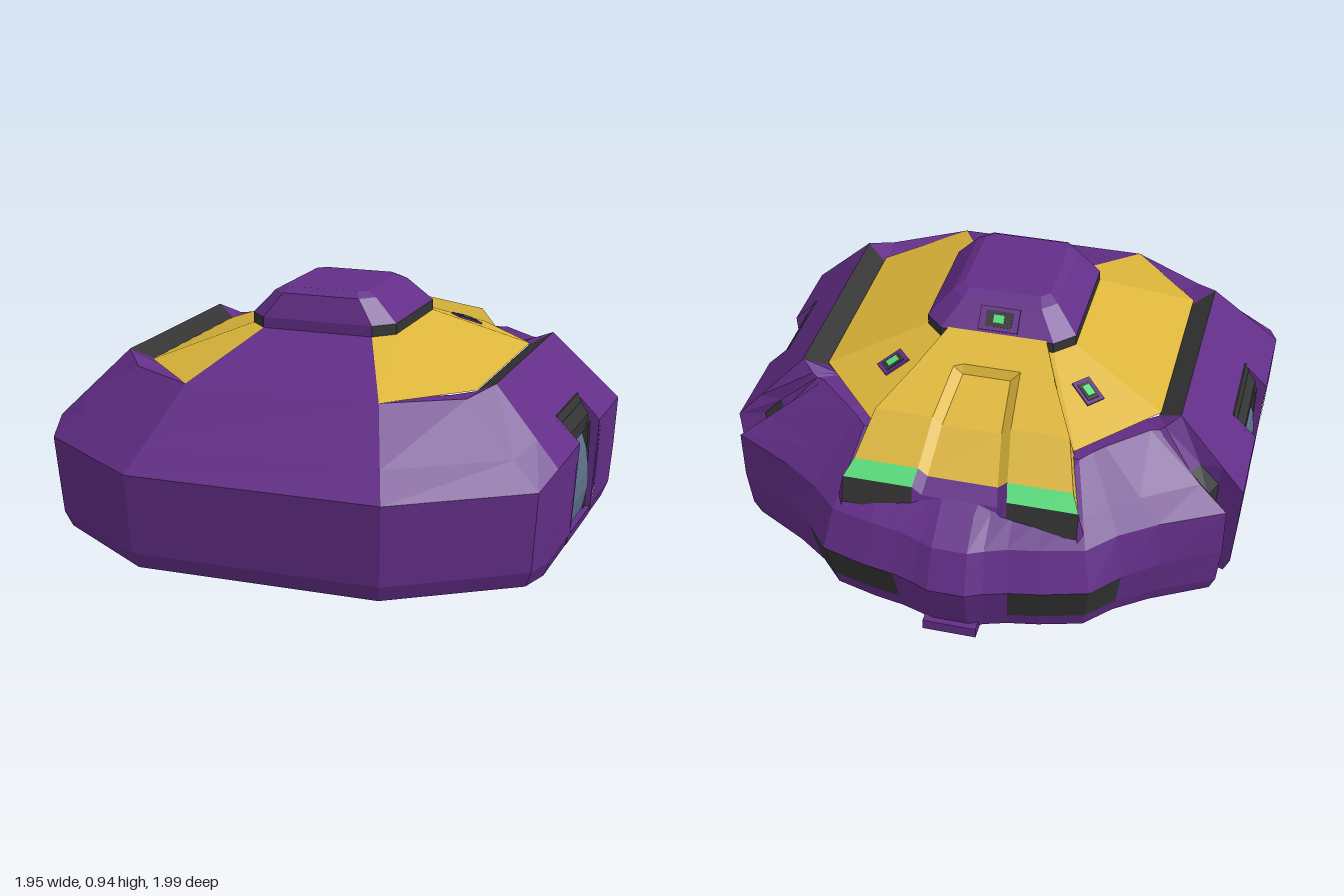
import * as THREE from 'three';

const mat = (name, color) => {
  const m = new THREE.MeshStandardMaterial({ color });
  m.name = name;
  return m;
};

// Joins rows of points into flat faces, sorted into one mesh per colour
function loft(name, rows, closed, pick) {
  const group = new THREE.Group();
  group.name = name;
  const sets = new Map();
  for (let i = 0; i < rows.length - 1; i++) {
    const n = rows[i].length;
    for (let j = 0; j < (closed ? n : n - 1); j++) {
      const m = pick(i, j);
      if (!m) continue;
      const k = (j + 1) % n;
      const a = rows[i][j], b = rows[i][k], c = rows[i + 1][k], d = rows[i + 1][j];
      if (!sets.has(m)) sets.set(m, []);
      sets.get(m).push(...a, ...b, ...c, ...a, ...c, ...d);
    }
  }
  for (const [m, p] of sets) {
    const g = new THREE.BufferGeometry();
    g.setAttribute('position', new THREE.Float32BufferAttribute(p, 3));
    g.computeVertexNormals();
    const mesh = new THREE.Mesh(g, m);
    mesh.name = `${name} ${m.name}`;
    group.add(mesh);
  }
  return group;
}

// Profile in x and y, extruded from z0 to z1
function slab(name, points, z0, z1, material) {
  const shape = new THREE.Shape(points.map(p => new THREE.Vector2(...p)));
  const g = new THREE.ExtrudeGeometry(shape, { depth: z1 - z0, bevelEnabled: false });
  g.translate(0, 0, z0);
  const mesh = new THREE.Mesh(g, material);
  mesh.name = name;
  return mesh;
}

export function createModel() {
  const purple = mat('purple armour', 0x632e88);
  const yellow = mat('yellow roof', 0xdcb53a);
  const dark = mat('dark trim', 0x343434);
  const green = mat('green light', 0x55dc78);
  const blue = mat('blue glass', 0x5d728c);
  const model = new THREE.Group();
  model.name = 'armoured pod';

  // Hull half outline, front to back: wall top x, z, y then shoulder x, z, y
  const half = [
    [0.48, 1, 0.38, 0.37, 0.71, 0.65],
    [0.94, 0.68, 0.38, 0.64, 0.55, 0.65],
    [0.975, 0.55, 0.43, 0.72, 0.46, 0.69],
    [0.975, 0.25, 0.43, 0.72, 0.25, 0.69],
    [0.975, -0.12, 0.43, 0.72, -0.12, 0.69],
    [0.975, -0.43, 0.43, 0.72, -0.36, 0.69],
    [0.88, -0.40, 0.43, 0.67, -0.40, 0.66],
    [0.85, -0.47, 0.43, 0.65, -0.41, 0.65],
    [0.93, -0.54, 0.42, 0.62, -0.42, 0.65],
    [0.70, -0.65, 0.41, 0.48, -0.55, 0.65],
    [0.57, -0.73, 0.40, 0.44, -0.58, 0.64],
    [0.47, -0.82, 0.385, 0.40, -0.62, 0.63],
    [0.31, -0.86, 0.385, 0.30, -0.60, 0.63],
    [0.20, -0.88, 0.385, 0.20, -0.60, 0.63],
    [0.12, -0.905, 0.38, 0.12, -0.60, 0.63],
    [0.065, -0.93, 0.38, 0.06, -0.60, 0.63],
  ];
  const n = half.length;
  const cols = [...half, ...half.slice().reverse().map(c => [-c[0], c[1], c[2], -c[3], c[4], c[5]])];
  // Lower wall rows taper inwards, and bulge at the rear
  const wallRow = (y, f, bulge) => cols.map(([x, z]) => {
    const s = f + bulge * THREE.MathUtils.clamp((-z - 0.5) / 0.35, 0, 1);
    return [x * s, y, z * s];
  });
  const slopeRow = t => cols.map(([x, z, y, rx, rz, ry]) =>
    [x + (rx - x) * t, y + (ry - y) * t, z + (rz - z) * t]);
  const hullRows = [
    cols.map(() => [0, 0.02, 0]),
    wallRow(0.02, 0.95, 0.05),
    wallRow(0.08, 0.975, 0.045),
    wallRow(0.23, 0.988, 0.08),
    slopeRow(0), slopeRow(0.346), slopeRow(1),
    cols.map(c => [c[3] * 0.88, 0.64, c[4] * 0.88]),
  ];
  model.add(loft('hull', hullRows, true, (i, j) => {
    const k = j < n ? j : 2 * n - 2 - j;
    if (k === 3 && i >= 2 && i <= 4) return null; // door opening
    if (k === 6 && i >= 2 && i <= 4) return dark; // corner slot
    if (k >= 10 && k <= 12 && i === 2) return dark; // rear windows
    if (k >= 2 && k <= 4 && i === 6) return dark; // shoulder groove
    return purple;
  }));
  const lip = new THREE.Mesh(new THREE.BoxGeometry(0.2, 0.04, 0.08), purple);
  lip.name = 'rear lip';
  lip.position.set(0, 0.02, -0.92);
  model.add(lip);

  // Octagonal ring with cut corners
  const oct = (y, x, z0, z1, c) => {
    const h = [[x - c, z1], [x, z1 - c], [x, z0 + c], [x - c, z0]];
    return [...h, ...h.slice().reverse().map(([a, b]) => [-a, b])].map(([a, b]) => [a, y, b]);
  };
  const eave = [[0.37, 0.71], [0.64, 0.43], [0.64, -0.31], [0.38, -0.6]];
  const eaveRow = [...eave, ...eave.slice().reverse().map(([x, z]) => [-x, z])].map(([x, z]) => [x, 0.65, z]);
  const domeBase = oct(0.79, 0.285, -0.23, 0.35, 0.07);
  model.add(loft('roof', [eaveRow, domeBase], true, (i, j) => (j === 7 ? purple : yellow)));
  const domeRows = [
    domeBase,
    oct(0.83, 0.285, -0.23, 0.35, 0.07),
    oct(0.92, 0.2, -0.15, 0.315, 0.05),
    oct(0.94, 0.165, -0.1, 0.28, 0.03),
    Array(8).fill([0, 0.94, 0.09]),
  ];
  model.add(loft('dome', domeRows, true, (i, j) => (i === 0 && j !== 7 ? dark : purple)));

  // Raised rear panel: z, y, half width, channel half width, channel depth
  const stations = [
    [-0.21, 0.84, 0.20, 0.09, 0],
    [-0.37, 0.785, 0.27, 0.09, 0],
    [-0.385, 0.78, 0.275, 0.09, 0.03],
    [-0.6, 0.705, 0.38, 0.11, 0.03],
    [-0.735, 0.57, 0.425, 0.13, 0.03],
    [-0.785, 0.52, 0.455, 0.14, 0.03],
    [-0.81, 0.42, 0.455, 0.14, 0],
  ];
  const panelRows = stations.map(([z, y, w, c, d]) => {
    const right = [[c, y - d], [c + 0.035, y], [w - 0.02, y], [w, y - 0.09]];
    return [...right.slice().reverse().map(([x, h]) => [-x, h]), ...right].map(([x, h]) => [x, h, z]);
  });
  model.add(loft('rear panel', panelRows, false, (i, j) => {
    const strip = j === 1 || j === 5;
    if (i === 5) return strip ? dark : purple;
    if (i === 4) return strip ? green : j >= 2 && j <= 4 ? purple : yellow;
    return yellow;
  }));

  // Layered plate lying on a sloping face
  const vent = (name, pos, normal, layers) => {
    const g = new THREE.Group();
    g.name = name;
    g.position.set(...pos);
    g.lookAt(pos[0] + normal[0], pos[1] + normal[1], pos[2] + normal[2]);
    layers.forEach(([w, h, m], i) => {
      const plate = new THREE.Mesh(new THREE.BoxGeometry(w, h, 0.008), m);
      plate.name = `${m.name} plate`;
      plate.position.z = 0.003 + i * 0.003;
      g.add(plate);
    });
    return g;
  };
  model.add(vent('dome window', [0, 0.875, -0.19], [0, 0.66, -0.75],
    [[0.15, 0.09, purple], [0.1, 0.06, dark], [0.04, 0.03, green]]));

  // Doors and roof vents on both sides
  for (const s of [1, -1]) {
    const side = new THREE.Group();
    side.name = s > 0 ? 'left fittings' : 'right fittings';
    const jamb = [[0.83, 0.06], [0.95, 0.08], [0.975, 0.43], [0.887, 0.52], [0.83, 0.52]];
    side.add(
      slab('doorJamb', jamb, 0.225, 0.25, purple),
      slab('doorJamb', jamb, -0.12, -0.095, purple),
      slab('doorSill', [[0.83, 0.04], [0.94, 0.04], [0.95, 0.08], [0.83, 0.08]], -0.12, 0.25, purple),
      slab('doorRecess', [[0.8, 0.06], [0.9, 0.06], [0.9, 0.5], [0.887, 0.525], [0.8, 0.525]], -0.1, 0.23, dark),
      slab('doorLintel', [[0.85, 0.4], [0.93, 0.4], [0.93, 0.45], [0.88, 0.52], [0.85, 0.52]], -0.1, 0.23, dark));
    for (const z of [0.195, -0.095]) {
      side.add(slab('doorPost', [[0.85, 0.08], [0.93, 0.08], [0.94, 0.42], [0.85, 0.42]], z, z + 0.03, dark));
    }
    side.add(
      slab('doorGlass', [[0.88, 0.08], [0.925, 0.08], [0.945, 0.17], [0.945, 0.24], [0.935, 0.32], [0.915, 0.385], [0.88, 0.385]],
        -0.065, 0.195, blue),
      vent('roofVent', [0.37, 0.719, -0.34], [0.267, 0.934, -0.239],
        [[0.075, 0.105, purple], [0.05, 0.075, dark], [0.03, 0.045, green]]));
    side.scale.x = s;
    model.add(side);
  }
  return model;
}
